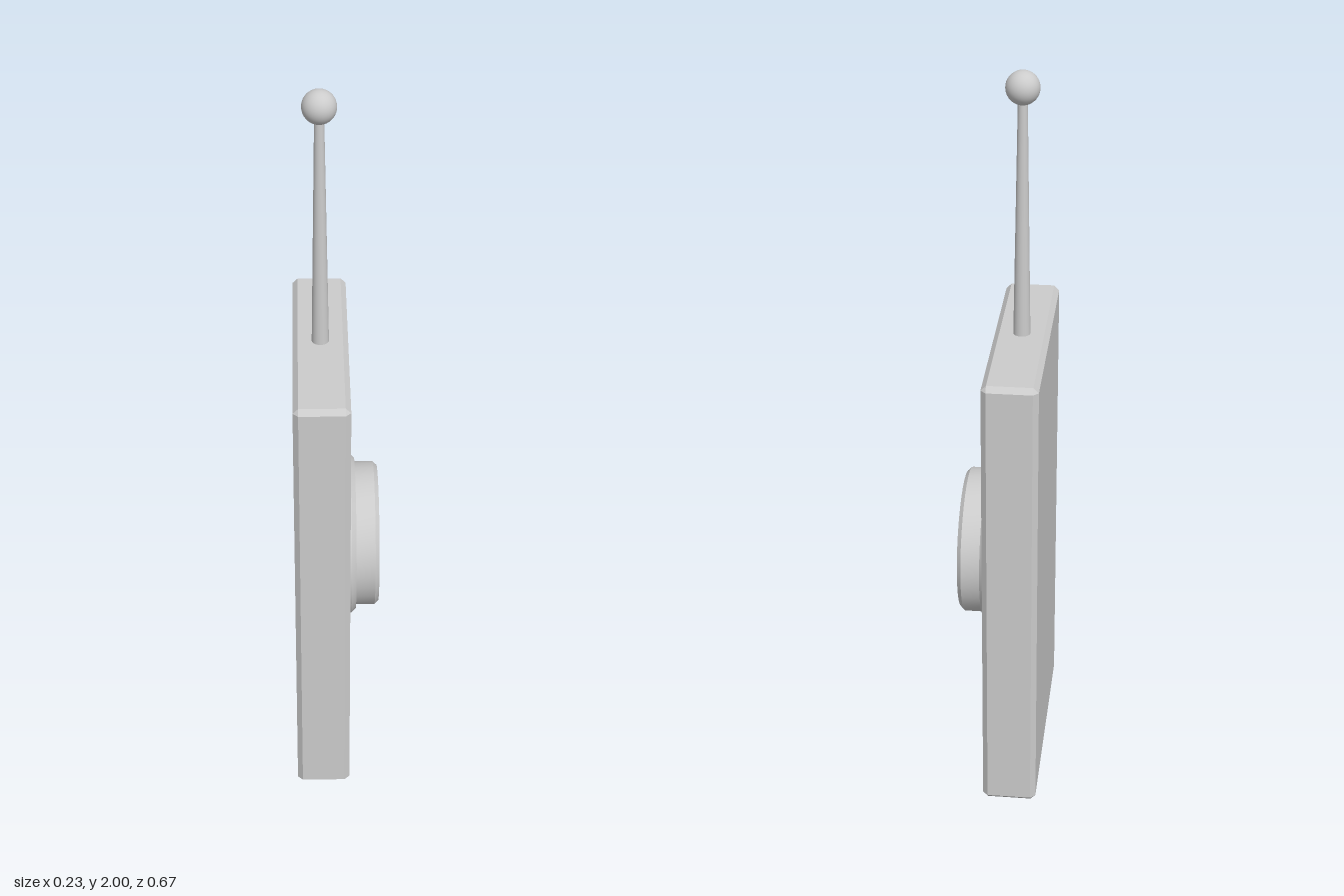
import * as THREE from 'three';
import { toCreasedNormals } from 'three/addons/utils/BufferGeometryUtils.js';
import { ConvexGeometry } from 'three/addons/geometries/ConvexGeometry.js';

const material = new THREE.MeshStandardMaterial({ color: 0xcccccc });

function addPart(group, name, geometry, x, y, z) {
  const mesh = new THREE.Mesh(geometry, material);
  mesh.name = name;
  mesh.position.set(x, y, z);
  group.add(mesh);
}

// Box with every edge and corner chamfered: three points per corner
function chamferedBox(w, h, d, c) {
  const points = [];
  for (const sx of [-1, 1]) for (const sy of [-1, 1]) for (const sz of [-1, 1]) {
    const x = w / 2, y = h / 2, z = d / 2;
    points.push(
      new THREE.Vector3(sx * x, sy * (y - c), sz * (z - c)),
      new THREE.Vector3(sx * (x - c), sy * y, sz * (z - c)),
      new THREE.Vector3(sx * (x - c), sy * (y - c), sz * z)
    );
  }
  return new ConvexGeometry(points);
}

// Chamfered disc whose flat face points along +x
function chamferedDisc(radius, depth, c) {
  const profile = [[radius, 0], [radius, depth - c], [radius - c, depth], [0, depth]]
    .map(([r, h]) => new THREE.Vector2(r, h));
  const disc = new THREE.LatheGeometry(profile, 32).rotateZ(-Math.PI / 2);
  return toCreasedNormals(disc, 0.5);
}

export function createModel() {
  const model = new THREE.Group();
  model.name = 'remoteControl';

  const bodyX = -0.0415, faceX = 0.032, buttonY = 0.645;

  // Slab body
  addPart(model, 'body', chamferedBox(0.147, 1.285, 0.665, 0.014), bodyX, 0.6425, 0);

  // Push button on its collar
  addPart(model, 'buttonCollar', chamferedDisc(0.224, 0.02, 0.013), faceX, buttonY, 0);
  addPart(model, 'button', chamferedDisc(0.201, 0.083, 0.011), faceX, buttonY, 0);

  // Tapered antenna with a ball tip
  const rod = new THREE.CylinderGeometry(0.012, 0.023, 0.69, 24);
  addPart(model, 'antennaRod', rod, bodyX, 1.61, 0);
  addPart(model, 'antennaTip', new THREE.SphereGeometry(0.044, 32, 20), bodyX, 1.956, 0);

  return model;
}
